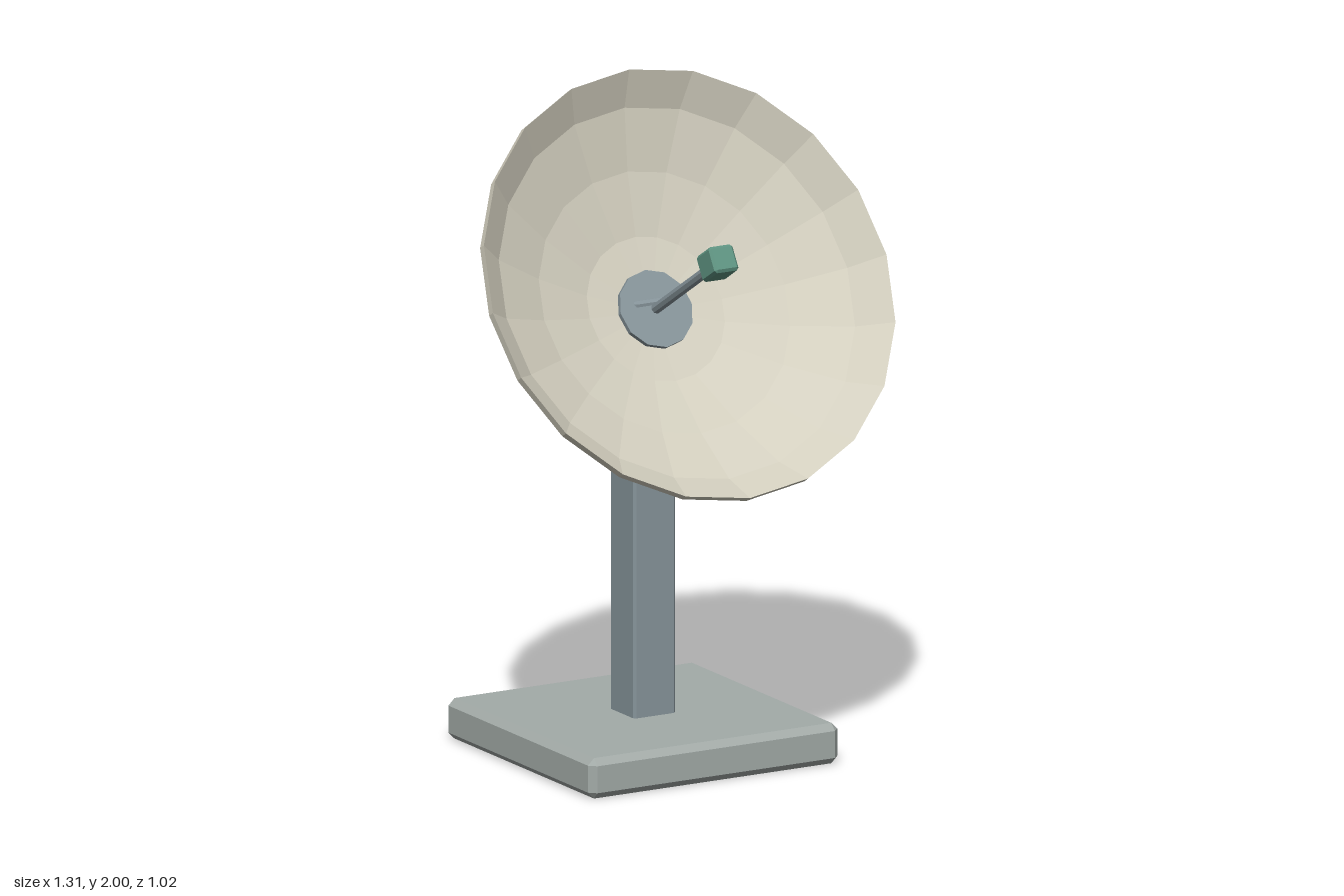
import * as THREE from 'three';
import { ConvexGeometry } from 'three/addons/geometries/ConvexGeometry.js';

const material = (color) => new THREE.MeshStandardMaterial({ color, flatShading: true });
const baseGrey = material(0xa3aba8);
const steel = material(0x87959b);
const cream = material(0xd3cfbf);
const green = material(0x5f9482);

// Box with every edge and corner cut by a flat chamfer
function chamferBox(w, h, d, c) {
  const points = [];
  for (const sx of [-1, 1]) for (const sy of [-1, 1]) for (const sz of [-1, 1]) {
    const x = w / 2, y = h / 2, z = d / 2;
    points.push(
      new THREE.Vector3(sx * x, sy * (y - c), sz * (z - c)),
      new THREE.Vector3(sx * (x - c), sy * y, sz * (z - c)),
      new THREE.Vector3(sx * (x - c), sy * (y - c), sz * z));
  }
  return new ConvexGeometry(points);
}

function add(parent, name, geometry, mat, x, y, z) {
  const mesh = new THREE.Mesh(geometry, mat);
  mesh.name = name;
  mesh.position.set(x, y, z);
  parent.add(mesh);
  return mesh;
}

export function createModel() {
  const model = new THREE.Group();
  model.name = 'dishAntenna';

  // Base slab and square post
  add(model, 'base', chamferBox(0.83, 0.12, 0.83, 0.02), baseGrey, 0, 0.06, -0.1);
  add(model, 'post', chamferBox(0.14, 1.25, 0.14, 0.008), steel, 0, 0.73, -0.1);

  // Tilted head: local y is the dish axis, origin at the rim centre
  const head = new THREE.Group();
  head.name = 'head';
  head.position.set(0, 1.445, 0.165);
  head.rotation.x = Math.PI / 2 - 0.55;
  model.add(head);

  // Reflector shell: outer skin up to the rim, then the inner skin back down
  const profile = [
    [0, -0.285], [0.219, -0.258], [0.42, -0.194], [0.56, -0.124], [0.655, -0.025],
    [0.655, 0], [0.567, -0.085], [0.4, -0.168], [0.22, -0.225], [0, -0.25],
  ].map(([r, y]) => new THREE.Vector2(r, y));
  add(head, 'dish', new THREE.LatheGeometry(profile, 20), cream, 0, 0, 0);

  // Hub through the dish, feed arm and receiver
  add(head, 'hub', new THREE.CylinderGeometry(0.118, 0.118, 0.18, 12), steel, 0, -0.312, 0);
  add(head, 'feedArm', new THREE.CylinderGeometry(0.016, 0.016, 0.41, 8), steel, 0, -0.045, 0);
  add(head, 'receiver', chamferBox(0.08, 0.094, 0.08, 0.008), green, 0, 0.185, 0);

  return model;
}
